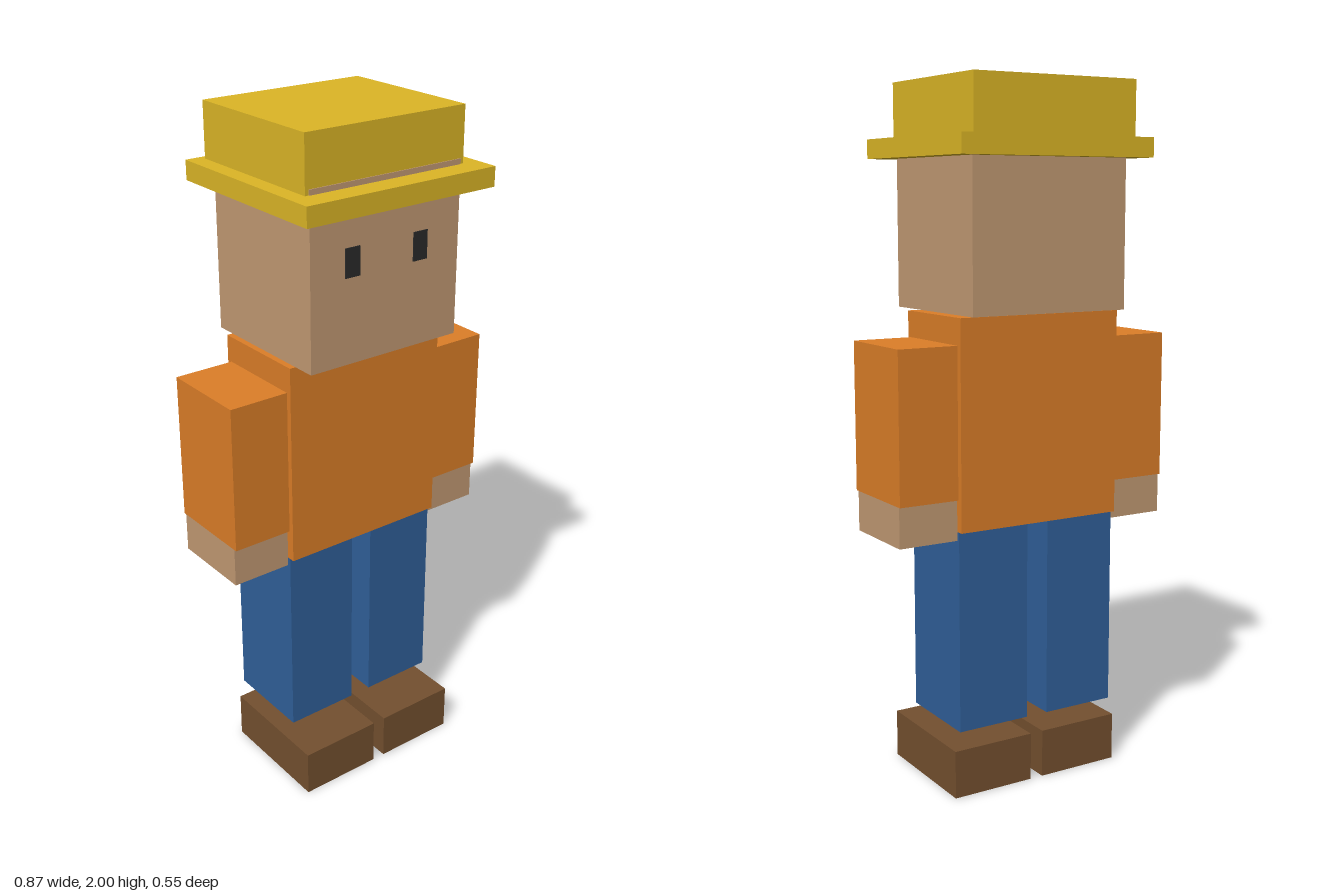
import * as THREE from 'three';

const mat = (color) => new THREE.MeshStandardMaterial({ color });

export function createModel() {
  const model = new THREE.Group();
  const hat = mat(0xdcb626), skin = mat(0xc29a73), shirt = mat(0xdc7e28);
  const denim = mat(0x30609a), leather = mat(0x74502f), dark = mat(0x2a2a2a);

  // Box given by its extents along each axis
  const block = (name, material, [x0, x1], [y0, y1], [z0, z1]) => {
    const mesh = new THREE.Mesh(new THREE.BoxGeometry(x1 - x0, y1 - y0, z1 - z0), material);
    mesh.position.set((x0 + x1) / 2, (y0 + y1) / 2, (z0 + z1) / 2);
    mesh.name = name;
    model.add(mesh);
  };
  // Mirrored pair of boxes, given by the left (+x) one
  const pair = (name, material, [x0, x1], y, z) => {
    block('left' + name, material, [x0, x1], y, z);
    block('right' + name, material, [-x1, -x0], y, z);
  };

  // Hat, with the head showing just in front of the crown
  block('hatCrown', hat, [-0.257, 0.257], [1.845, 2], [-0.252, 0.2]);
  block('hatBrim', hat, [-0.305, 0.305], [1.79, 1.845], [-0.273, 0.273]);

  // Head and eyes
  block('head', skin, [-0.246, 0.246], [1.37, 1.86], [-0.225, 0.203]);
  pair('Eye', dark, [0.089, 0.136], [1.61, 1.69], [0.19, 0.206]);

  // Torso, arms and hands
  block('torso', shirt, [-0.257, 0.257], [0.775, 1.365], [-0.177, 0.124]);
  pair('Arm', shirt, [0.257, 0.436], [0.865, 1.29], [-0.16, 0.108]);
  pair('Hand', skin, [0.257, 0.435], [0.75, 0.865], [-0.153, 0.098]);

  // Legs, with the shoes set a little below them
  pair('Leg', denim, [0.034, 0.256], [0.195, 0.775], [-0.161, 0.107]);
  pair('Shoe', leather, [0.02, 0.272], [0, 0.14], [-0.161, 0.203]);

  return model;
}
